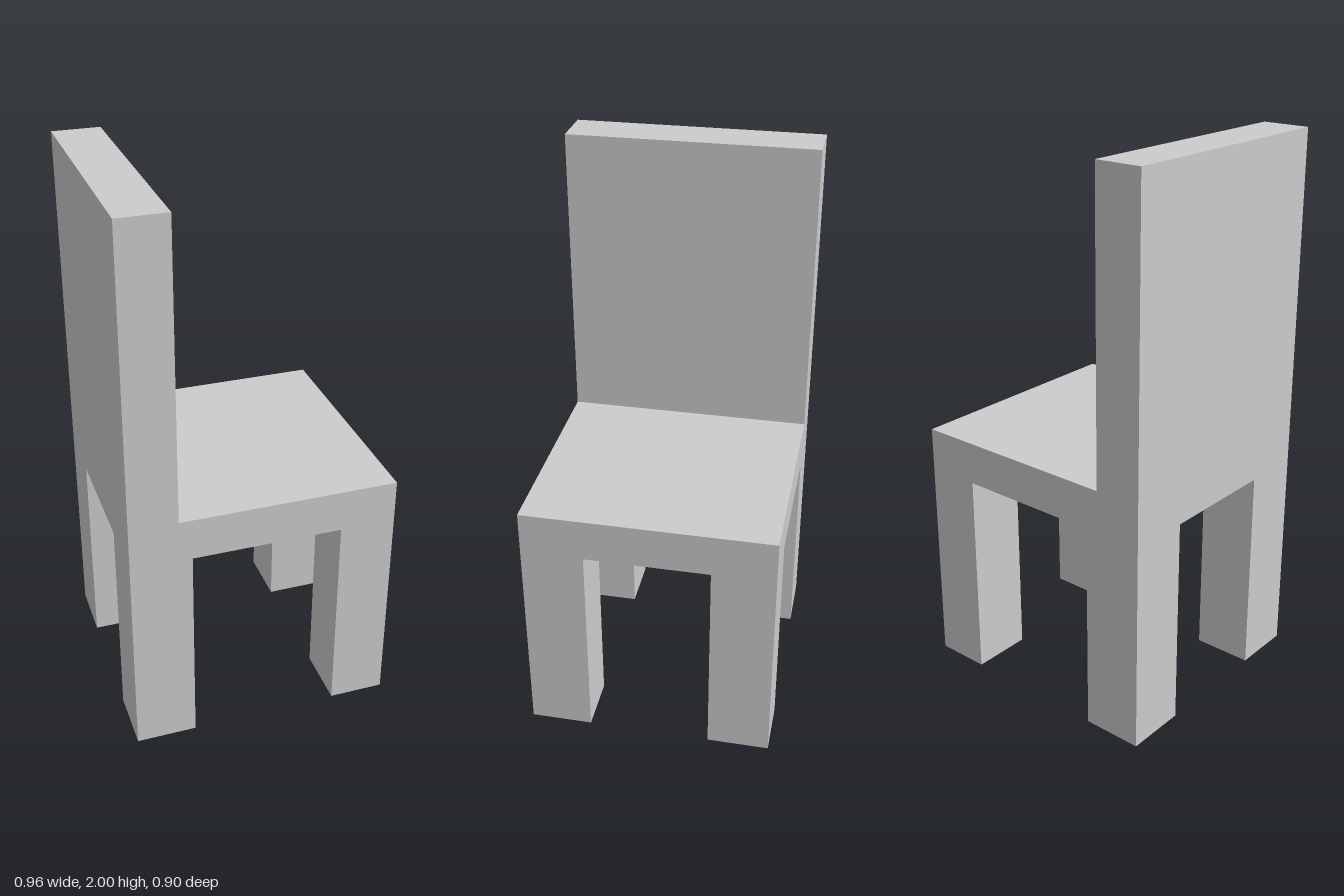
import * as THREE from 'three';

const material = new THREE.MeshStandardMaterial({ color: 0xcccccc, flatShading: true });

// Box given by its lower and upper limits on each axis
function block(name, [x0, x1], [y0, y1], [z0, z1]) {
  const mesh = new THREE.Mesh(new THREE.BoxGeometry(x1 - x0, y1 - y0, z1 - z0), material);
  mesh.position.set((x0 + x1) / 2, (y0 + y1) / 2, (z0 + z1) / 2);
  mesh.name = name;
  return mesh;
}

export function createModel() {
  const chair = new THREE.Group();
  chair.name = 'chair';

  const halfX = 0.481, halfZ = 0.448, legInnerZ = 0.223;
  const seatBottom = 0.772, seatTop = 0.927;

  // Seat slab, with the backrest standing on its -x edge
  chair.add(block('seat', [-halfX, halfX], [seatBottom, seatTop], [-halfZ, halfZ]));
  chair.add(block('backrest', [-halfX, -0.308], [seatTop, 2], [-halfZ, halfZ]));

  // Legs: the pair under the backrest is slightly thicker
  const legPairs = [
    ['backrestLeg', [-halfX, -0.262]],
    ['seatEdgeLeg', [0.279, halfX]],
  ];
  for (const [name, xRange] of legPairs) {
    chair.add(block(name + 'Front', xRange, [0, seatBottom], [legInnerZ, halfZ]));
    chair.add(block(name + 'Rear', xRange, [0, seatBottom], [-halfZ, -legInnerZ]));
  }
  return chair;
}
